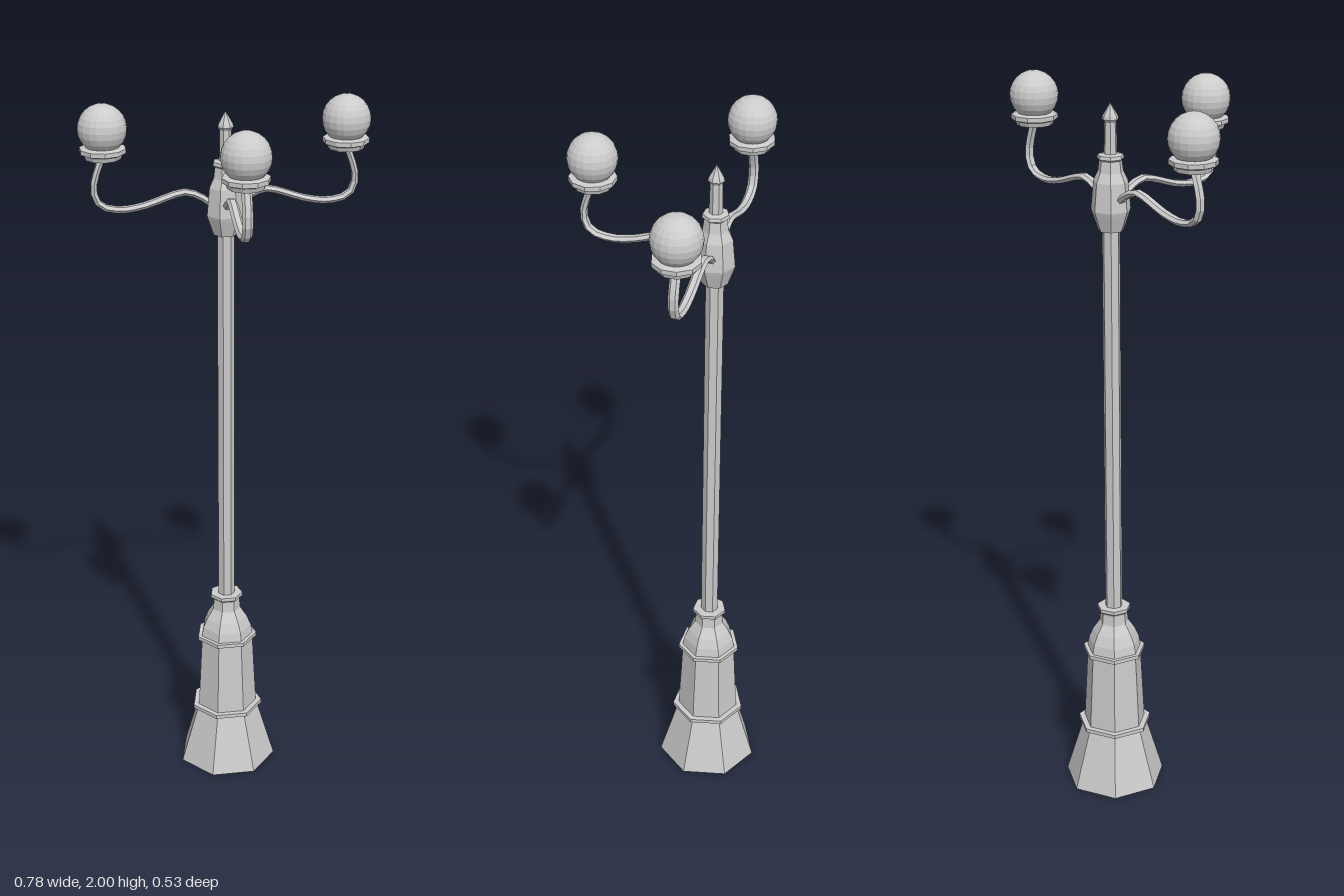
import * as THREE from 'three';

const SIDES = 7;
const AXIS_Z = -0.125;
const REACH = 0.323;

const material = new THREE.MeshStandardMaterial({ color: 0xcccccc, flatShading: true, side: THREE.DoubleSide });

function part(name, geometry) {
  const mesh = new THREE.Mesh(geometry, material);
  mesh.name = name;
  return mesh;
}

// Faceted turned part from [radius, height] pairs, one corner pointing back
function turned(name, profile, sides = SIDES) {
  const points = profile.map(([r, y]) => new THREE.Vector2(r, y));
  return part(name, new THREE.LatheGeometry(points, sides, Math.PI));
}

// Curved bracket with its cup and globe, built along +x
function lampArm(name, angle) {
  const arm = new THREE.Group();
  arm.name = name;

  const path = new THREE.CatmullRomCurve3([
    [0.02, 1.70], [0.05, 1.73], [0.105, 1.755], [0.16, 1.742], [0.21, 1.725],
    [0.28, 1.715], [0.333, 1.73], [0.35, 1.77], [0.342, 1.815], [REACH, 1.865],
  ].map(([x, y]) => new THREE.Vector3(x, y, 0)));
  const bracket = part('bracket', new THREE.TubeGeometry(path, 18, 0.0095, 6));
  bracket.scale.z = 1.45;

  const cup = turned('globeHolder', [
    [0, 1.856], [0.048, 1.856], [0.052, 1.868], [0.062, 1.872],
    [0.062, 1.884], [0.045, 1.888], [0, 1.888],
  ], 10);
  cup.position.x = REACH;

  const globe = part('globe', new THREE.SphereGeometry(0.065, 20, 12));
  globe.position.set(REACH, 1.935, 0);

  arm.add(bracket, cup, globe);
  arm.rotation.y = angle;
  return arm;
}

export function createModel() {
  const lamp = new THREE.Group();
  lamp.name = 'streetLamp';

  const column = new THREE.Group();
  column.name = 'column';
  column.position.z = AXIS_Z;

  // Flared foot, pedestal and shoulder
  column.add(
    turned('foot', [[0, 0], [0.142, 0], [0.09, 0.175], [0, 0.175]]),
    turned('lowerRing', [[0.08, 0.173], [0.104, 0.173], [0.104, 0.184], [0.08, 0.184]]),
    turned('pedestal', [[0.088, 0.18], [0.076, 0.41]]),
    turned('upperRing', [[0.07, 0.403], [0.088, 0.403], [0.088, 0.414], [0.07, 0.414]]),
    turned('shoulder', [[0.077, 0.412], [0.072, 0.44], [0.06, 0.468], [0.041, 0.497], [0.038, 0.53]]),
    turned('collar', [[0.036, 0.502], [0.039, 0.53], [0.047, 0.536], [0.047, 0.546], [0, 0.546]]),
  );

  // Shaft
  column.add(turned('shaft', [[0.024, 0.5], [0.024, 1.66]]));

  // Head that carries the arms, and the finial above it
  column.add(
    turned('head', [
      [0, 1.635], [0.034, 1.635], [0.05, 1.68], [0.053, 1.69], [0.046, 1.765],
      [0.034, 1.79], [0.03, 1.82], [0.036, 1.825], [0.034, 1.834], [0, 1.84],
    ]),
    turned('finial', [[0.018, 1.83], [0.016, 1.918], [0.022, 1.926], [0.02, 1.934], [0.008, 1.955], [0, 1.968]]),
  );

  // Arms to the left, the right and the front
  column.add(
    lampArm('leftArm', 0),
    lampArm('rightArm', Math.PI),
    lampArm('frontArm', -Math.PI / 2),
  );

  lamp.add(column);
  return lamp;
}
